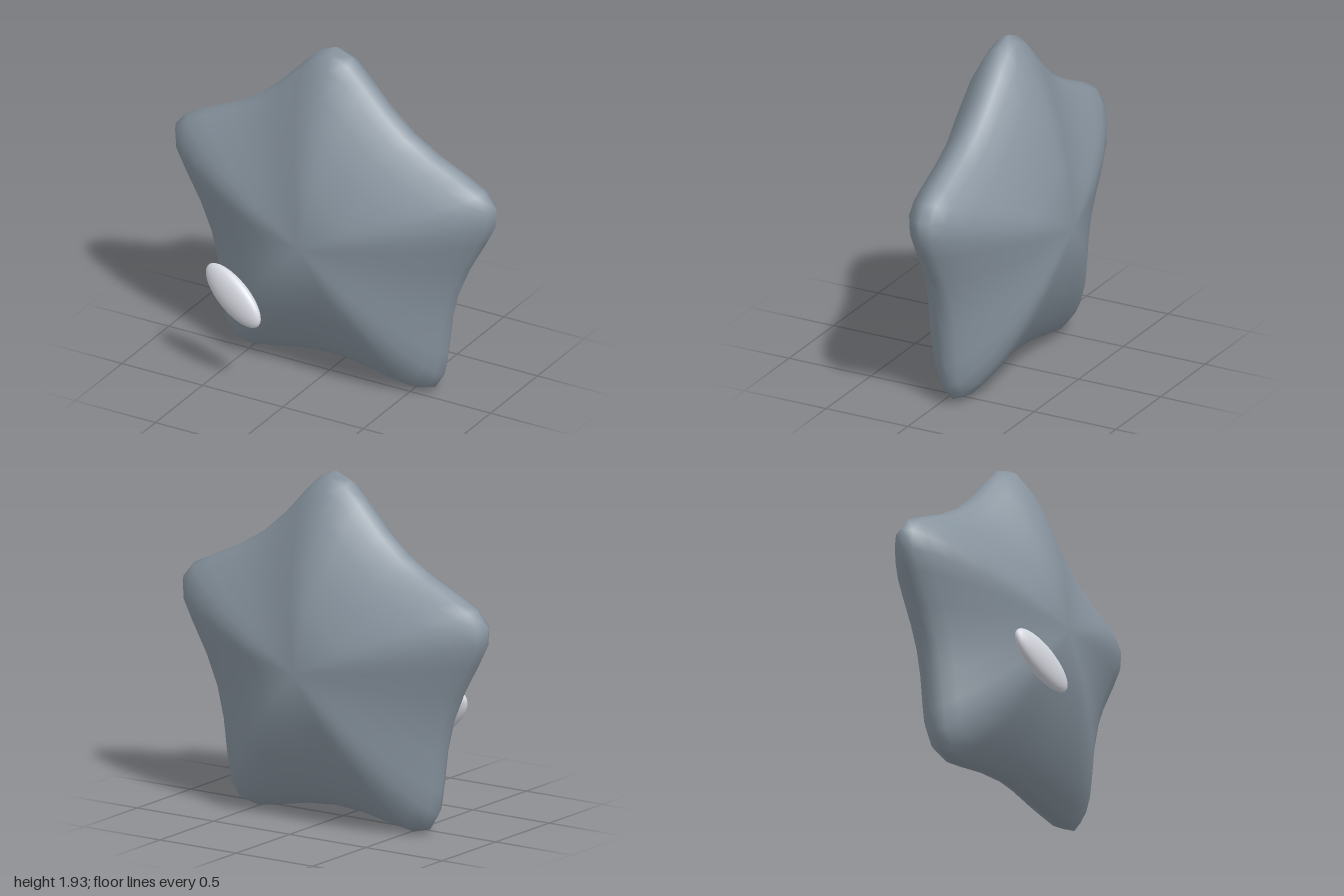
import * as THREE from 'three';

// Half an arm of the outline: [degrees from the tip, radius]
const OUTLINE = [[0, 1.05], [5.7, 1.015], [11.8, 0.939], [23.3, 0.838], [36, 0.802]];
// Centre-to-rim section of the puffed body: [fraction of radius, half depth]
const SECTION = [[0, 0.405], [0.36, 0.335], [0.58, 0.265], [0.77, 0.185], [0.9, 0.11], [0.97, 0.053], [1, 0]];

// Five mirrored arms joined into one closed list of [angle, radius]
function starOutline() {
  const points = [];
  for (let arm = 0; arm < 5; arm++) {
    for (const [a, r] of OUTLINE) points.push([arm * 72 + a, r]);
    for (const [a, r] of OUTLINE.slice(1, -1).reverse()) points.push([arm * 72 + 72 - a, r]);
  }
  return points.map(([a, r]) => [THREE.MathUtils.degToRad(a), r]);
}

// Star rings stacked from the front point to the back point
function starGeometry() {
  const outline = starOutline();
  const n = outline.length;
  const rings = [...SECTION, ...SECTION.slice(0, -1).reverse().map(([f, z]) => [f, -z])];
  const last = rings.length - 1;
  const positions = [];
  rings.forEach(([f, z], j) => {
    if (j === 0 || j === last) positions.push(0, 0, z);
    else for (const [a, r] of outline) positions.push(f * r * Math.sin(a), f * r * Math.cos(a), z);
  });
  const id = (j, i) => (j === 0 ? 0 : j === last ? 1 + (last - 1) * n : 1 + (j - 1) * n + (i % n));
  const index = [];
  for (let j = 0; j < last; j++) {
    for (let i = 0; i < n; i++) {
      const a = id(j, i), b = id(j + 1, i), c = id(j + 1, i + 1), d = id(j, i + 1);
      if (j < last - 1) index.push(a, c, b);
      if (j > 0) index.push(a, d, c);
    }
  }
  const geometry = new THREE.BufferGeometry();
  geometry.setAttribute('position', new THREE.Float32BufferAttribute(positions, 3));
  geometry.setIndex(index);
  geometry.computeVertexNormals();
  return geometry;
}

export function createModel() {
  const slate = new THREE.MeshStandardMaterial({ color: 0x87939e });
  slate.name = 'slate grey';
  const pale = new THREE.MeshStandardMaterial({ color: 0xd6d8e0 });
  pale.name = 'pale grey';

  const model = new THREE.Group();
  model.name = 'puffedStar';

  // Puffed five-armed body
  const body = new THREE.Mesh(starGeometry(), slate);
  body.name = 'starBody';
  body.position.set(0, 0.88, -0.067);
  model.add(body);

  // Slanted oval highlight floating before the lower right arm
  const highlight = new THREE.Mesh(new THREE.SphereGeometry(1, 32, 20), pale);
  highlight.name = 'ovalHighlight';
  highlight.scale.set(0.219, 0.102, 0.052);
  highlight.rotation.set(0, -0.169, -0.595, 'ZYX');
  highlight.position.set(-0.362, 0.542, 0.407);
  model.add(highlight);

  return model;
}
